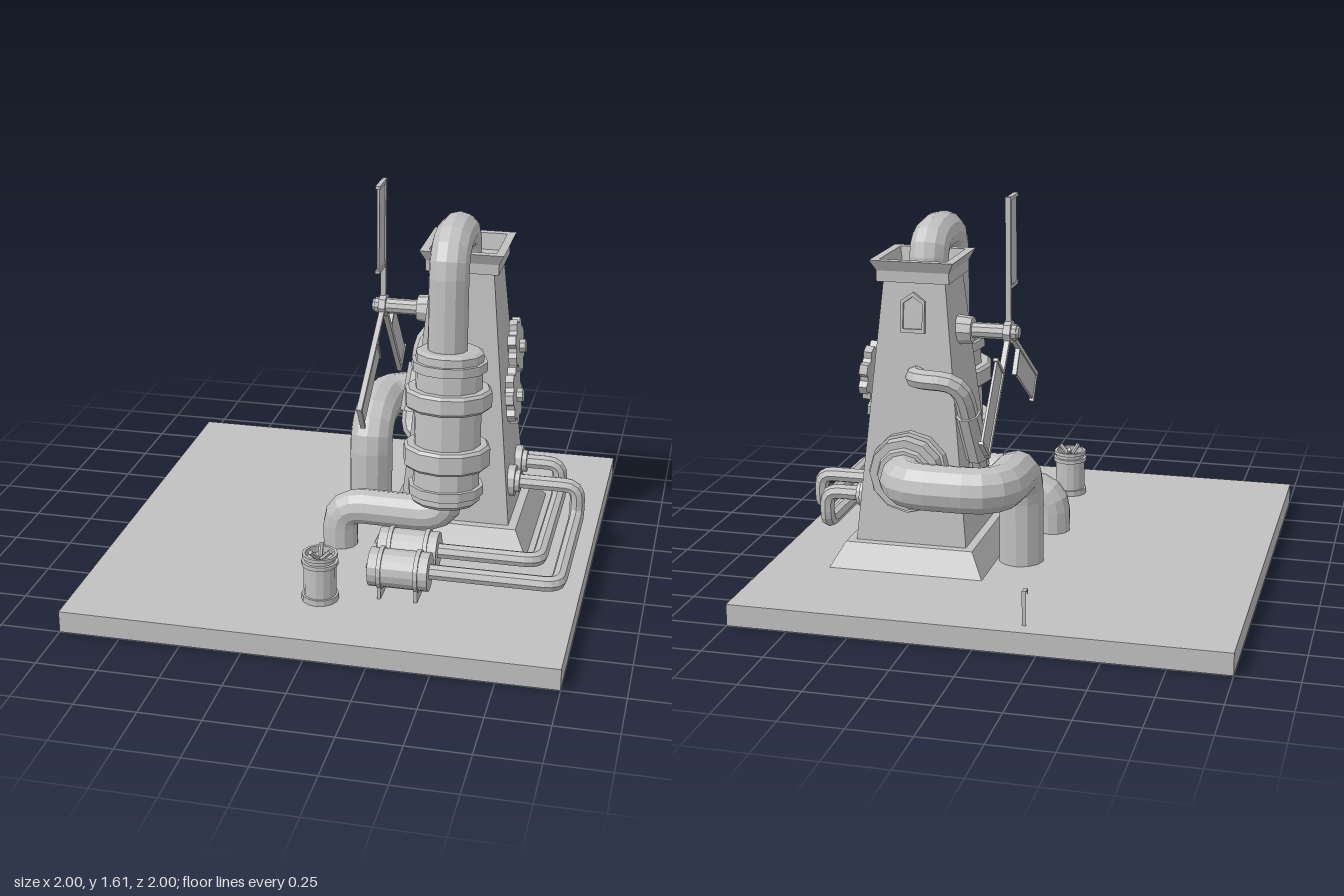
import * as THREE from 'three';

const grey = new THREE.MeshStandardMaterial({ color: 0xc0c0c0, flatShading: true, side: THREE.DoubleSide });
grey.name = 'plain grey';
const V = (x, y, z) => new THREE.Vector3(x, y, z);
const CX = 0.415, CZ = -0.2;                          // tower axis
const towerHalf = y => 0.13 + 0.097 * (1.27 - y);     // tower half width at height y
const SLOPE = 0.097;

function add(parent, name, geometry, x = 0, y = 0, z = 0) {
  const mesh = new THREE.Mesh(geometry, grey);
  mesh.name = name;
  mesh.position.set(x, y, z);
  parent.add(mesh);
  return mesh;
}

function group(parent, name, x = 0, y = 0, z = 0) {
  const g = new THREE.Group();
  g.name = name;
  g.position.set(x, y, z);
  parent.add(g);
  return g;
}

const lathe = (profile, sides) =>
  new THREE.LatheGeometry(profile.map(p => new THREE.Vector2(p[0], p[1])), sides);

// Square turned solid: profile gives half widths
const square = profile => lathe(profile.map(([r, y]) => [r * Math.SQRT2, y]), 4).rotateY(Math.PI / 4);

// Straight round bar between two points
function rod(parent, name, a, b, r, r2 = r, sides = 12) {
  const d = b.clone().sub(a);
  const mesh = add(parent, name, new THREE.CylinderGeometry(r2, r, d.length(), sides));
  mesh.position.copy(a).add(b).multiplyScalar(0.5);
  mesh.quaternion.setFromUnitVectors(V(0, 1, 0), d.normalize());
  return mesh;
}

// Curve that runs through its points one ring at a time
class RingPath extends THREE.Curve {
  constructor(points) { super(); this.points = points; }
  getPoint(u) {
    const n = this.points.length - 1, f = u * n, i = Math.min(Math.floor(f), n - 1);
    return this.points[i].clone().lerp(this.points[i + 1], f - i);
  }
  getPointAt(u) { return this.getPoint(u); }
  getTangentAt(u) {
    const n = this.points.length - 1, i = Math.round(u * n);
    const t = V(0, 0, 0);
    if (i > 0) t.add(this.points[i].clone().sub(this.points[i - 1]).normalize());
    if (i < n) t.add(this.points[i + 1].clone().sub(this.points[i]).normalize());
    return t.normalize();
  }
}

// Pipe along corner points with rounded elbows
function pipe(parent, name, corners, r, bend, sides = 12) {
  const pts = [corners[0]];
  for (let i = 1; i < corners.length - 1; i++) {
    const c = corners[i];
    const cut = o => c.clone().add(o.clone().sub(c).setLength(Math.min(bend, o.distanceTo(c) * 0.49)));
    pts.push(...new THREE.QuadraticBezierCurve3(cut(corners[i - 1]), c, cut(corners[i + 1])).getPoints(4));
  }
  pts.push(corners[corners.length - 1]);
  return add(parent, name, new THREE.TubeGeometry(new RingPath(pts), pts.length - 1, r, sides));
}

function plate(points, depth, hole) {
  const shape = new THREE.Shape(points.map(p => new THREE.Vector2(p[0], p[1])));
  if (hole) shape.holes.push(new THREE.Path(hole.map(p => new THREE.Vector2(p[0], p[1]))));
  return new THREE.ExtrudeGeometry(shape, { depth, bevelEnabled: false });
}

function buildTower(model) {
  const tower = group(model, 'tower', CX, 0, CZ);
  add(tower, 'towerSkirt', square([[0.325, 0.09], [0.27, 0.19], [0.2, 0.19]]));
  add(tower, 'towerWalls', square([[towerHalf(0.09), 0.09], [towerHalf(1.27), 1.27]]));
  add(tower, 'towerCap', square([[0.12, 1.27], [0.152, 1.27], [0.152, 1.315], [0.175, 1.36],
    [0.14, 1.36], [0.13, 1.29], [0, 1.29]]));

  // Window on the back wall
  const win = group(model, 'window', CX, 1.145, CZ - towerHalf(1.145));
  win.rotation.set(SLOPE, Math.PI, 0);
  const house = s => [[-0.05 * s, -0.08 * s], [0.05 * s, -0.08 * s], [0.05 * s, 0.05 * s], [0, 0.085 * s], [-0.05 * s, 0.05 * s]];
  add(win, 'windowFrame', plate(house(1), 0.018, house(0.8)));
  add(win, 'windowPane', plate(house(0.8), 0.006));
}

function buildGears(model) {
  for (const [y, z, turn] of [[0.88, -0.29, 0.1], [0.715, -0.14, 0.45]]) {
    const gear = group(model, 'gear', CX + towerHalf(y) + 0.015, y, z);
    gear.rotation.set(0, Math.PI / 2, SLOPE, 'ZYX');
    const pts = [];
    for (let t = 0; t < 8; t++)
      for (const [f, r] of [[0, 0.123], [0.4, 0.123], [0.58, 0.1], [0.82, 0.1]]) {
        const a = (t + f) * Math.PI / 4 + turn;
        pts.push([r * Math.cos(a), r * Math.sin(a)]);
      }
    add(gear, 'gearWheel', plate(pts, 0.035));
    rod(gear, 'gearAxle', V(0, 0, -0.04), V(0, 0, 0.06), 0.03, 0.03, 8);
  }
}

function buildBoiler(model) {
  const boiler = group(model, 'boiler', 0.397, 0.337, 0.152);
  boiler.rotation.x = -0.085;
  add(boiler, 'boilerBody', lathe([
    [0, 0], [0.13, 0], [0.145, 0.015], [0.145, 0.042], [0.158, 0.042], [0.158, 0.08], [0.14, 0.08],
    [0.14, 0.16], [0.17, 0.16], [0.182, 0.172], [0.182, 0.244], [0.17, 0.256], [0.14, 0.256],
    [0.14, 0.413], [0.17, 0.413], [0.182, 0.425], [0.182, 0.485], [0.17, 0.497], [0.14, 0.497],
    [0.14, 0.573], [0.158, 0.573], [0.158, 0.612], [0.142, 0.612], [0.142, 0.645], [0.125, 0.655], [0, 0.655]], 12));
  pipe(model, 'topPipe', [V(0.387, 0.95, 0.1), V(0.387, 1.427, 0.095), V(0.387, 1.427, -0.205), V(0.387, 1.27, -0.205)], 0.083, 0.13);
  pipe(model, 'outletPipe', [V(0.397, 0.42, 0.145), V(0.397, 0.27, 0.155), V(-0.053, 0.27, 0.145), V(-0.053, 0.085, 0.145)], 0.075, 0.11);
}

function buildBackPipes(model) {
  pipe(model, 'largePipe', [V(0.42, 0.5, -0.35), V(0.42, 0.5, -0.605), V(-0.007, 0.5, -0.605),
    V(-0.007, 0.5, -0.245), V(-0.007, 0.085, -0.245)], 0.095, 0.14);
  rod(model, 'largePipeFlange', V(0.42, 0.49, -0.38), V(0.42, 0.5, -0.445), 0.175, 0.165);
  rod(model, 'largePipeCollar', V(0.42, 0.5, -0.44), V(0.42, 0.5, -0.485), 0.155, 0.15);
  rod(model, 'largePipeNeck', V(0.42, 0.5, -0.48), V(0.42, 0.5, -0.505), 0.12, 0.11);

  // Thin pipe round the back corner
  pipe(model, 'cornerPipe', [V(0.4, 0.89, -0.34), V(0.4, 0.89, -0.42), V(0.2, 0.885, -0.415),
    V(0.158, 0.455, -0.25), V(0.27, 0.455, -0.22)], 0.042, 0.09, 8);
  rod(model, 'cornerPipeSleeve', V(0.187, 0.74, -0.36), V(0.166, 0.54, -0.283), 0.052, 0.052, 8);
}

function buildWindmill(model) {
  const mill = group(model, 'windmill', 0, 1.053, CZ);
  rod(mill, 'millShaft', V(0.3, 0, 0), V(0.02, 0, 0), 0.033, 0.033, 10);
  rod(mill, 'millBearing', V(0.3, 0, 0), V(0.205, 0, 0), 0.065, 0.055, 10);
  rod(mill, 'millHub', V(0.07, 0, 0), V(0.04, 0, 0), 0.05, 0.05, 8);
  rod(mill, 'millNose', V(0.04, 0, 0), V(0.01, 0, 0), 0.033, 0.025, 8);
  for (const degrees of [0, 140, 237]) {
    const blade = group(mill, 'blade', 0.055, 0, 0);
    blade.rotation.x = -THREE.MathUtils.degToRad(degrees);
    add(blade, 'bladeArm', new THREE.BoxGeometry(0.022, 0.555, 0.02), 0, 0.278, 0);
    add(blade, 'bladePanel', new THREE.BoxGeometry(0.01, 0.36, 0.11), 0, 0.36, 0.06);
    for (const y of [0.185, 0.547])
      add(blade, 'bladeBar', new THREE.BoxGeometry(0.02, 0.014, 0.13), 0, y, 0.06);
  }
}

function buildTanks(model) {
  // Pipe start z, elbow x and tank z for each of the two lines
  for (const [z0, x, z1] of [[-0.305, 0.823, 0.36], [-0.09, 0.925, 0.552]]) {
    const wall = CX + towerHalf(0.345);
    pipe(model, 'feedPipe', [V(wall - 0.03, 0.345, z0), V(x, 0.345, z0), V(x, 0.205, z0), V(x, 0.205, z1), V(0.38, 0.205, z1)], 0.032, 0.055, 8);
    rod(model, 'feedFlange', V(wall - 0.02, 0.345, z0), V(wall + 0.025, 0.345, z0), 0.07, 0.067);
    rod(model, 'feedCollar', V(wall, 0.345, z0), V(wall + 0.045, 0.345, z0), 0.05, 0.048);

    const tank = group(model, 'tank', 0.29, 0.203, z1);
    rod(tank, 'tankBody', V(-0.122, 0, 0), V(0.122, 0, 0), 0.079, 0.079, 16);
    for (const bx of [-0.075, 0.075]) {
      rod(tank, 'tankBand', V(bx - 0.009, 0, 0), V(bx + 0.009, 0, 0), 0.087, 0.087, 16);
      add(tank, 'tankFoot', new THREE.BoxGeometry(0.015, 0.09, 0.12), bx, -0.068, 0);
    }
    rod(tank, 'tankValve', V(-0.13, 0, 0), V(-0.12, 0, 0), 0.03, 0.03, 8);
    rod(tank, 'tankTap', V(-0.14, 0, 0), V(-0.12, 0, 0), 0.01, 0.01, 6);
  }
}

function buildBarrel(model) {
  const barrel = group(model, 'barrel', -0.016, 0.09, 0.655);
  add(barrel, 'barrelBody', lathe([[0, 0], [0.075, 0], [0.075, 0.025], [0.066, 0.025], [0.066, 0.155],
    [0.075, 0.155], [0.075, 0.172], [0.063, 0.172], [0.063, 0.188], [0.072, 0.188], [0.072, 0.203],
    [0.06, 0.203], [0.06, 0.175], [0, 0.175]], 14));
  for (const a of [0.3, 2.2, 4.6])
    rod(barrel, 'barrelStick', V(0, 0.17, 0), V(0.05 * Math.cos(a), 0.22, 0.05 * Math.sin(a)), 0.01, 0.01, 6);
}

export function createModel() {
  const model = new THREE.Group();
  model.name = 'pumpingStation';
  add(model, 'ground', new THREE.BoxGeometry(2, 0.09, 2), 0, 0.045, 0);
  buildTower(model);
  buildGears(model);
  buildBoiler(model);
  buildBackPipes(model);
  buildWindmill(model);
  buildTanks(model);
  buildBarrel(model);

  // Small hooked post near the back edge
  const hook = group(model, 'hookPost', -0.187, 0.09, -0.93);
  add(hook, 'hookStem', new THREE.BoxGeometry(0.016, 0.14, 0.005), 0, 0.07, 0);
  add(hook, 'hookArm', new THREE.BoxGeometry(0.016, 0.005, 0.033), 0, 0.138, 0.014);
  add(hook, 'hookTip', new THREE.BoxGeometry(0.016, 0.02, 0.005), 0, 0.13, 0.028);
  return model;
}
